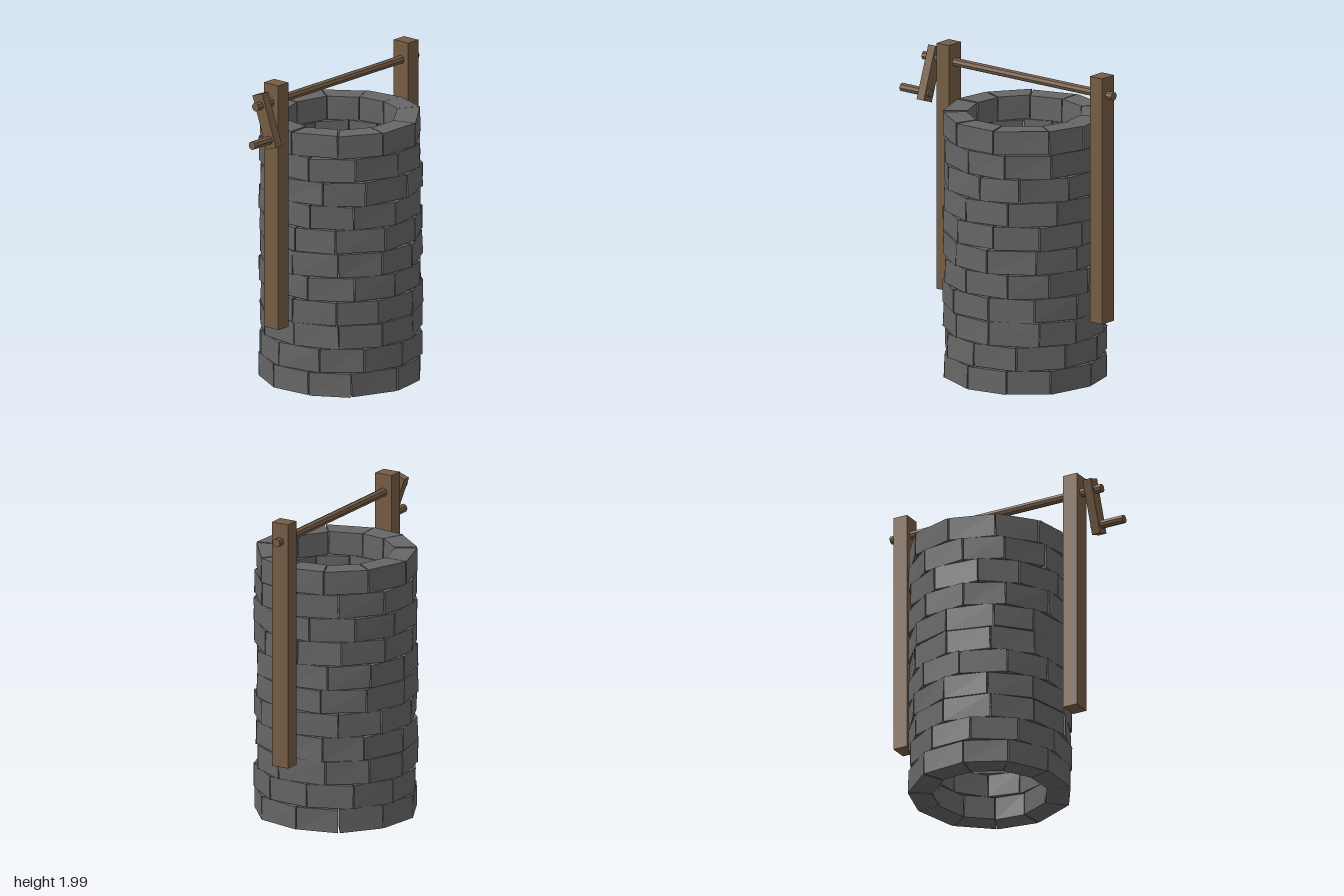
import * as THREE from 'three';

const RAD = Math.PI / 180;
const CENTRE_Z = -0.105;
const OUTER = 0.5, INNER = 0.354;
const PITCH = 0.1515, COUNT = 11;

function makeRandom(seed) {
  return () => {
    seed = (seed * 16807) % 2147483647;
    return seed / 2147483647;
  };
}

export function createModel() {
  const group = new THREE.Group();
  const rand = makeRandom(4217);
  const jitter = (a) => (rand() * 2 - 1) * a;
  const stone = new THREE.MeshStandardMaterial({ color: 0x666666, flatShading: true });
  const wood = new THREE.MeshStandardMaterial({ color: 0x755c45, flatShading: true });

  // A wedge-shaped block: box corners moved to angle, height and radius
  function stoneBlock(a0, a1, y0, y1) {
    const geo = new THREE.BoxGeometry(1, 1, 1);
    const pos = geo.attributes.position;
    const tilt = jitter(0.003);
    const corners = [];
    for (let i = 0; i < 8; i++) {
      const angle = (i & 1 ? a1 - 0.45 : a0 + 0.45) * RAD + jitter(0.004);
      const r = (i & 4 ? OUTER : INNER) + jitter(0.004);
      const y = (i & 2 ? y1 : y0) + (i & 1 ? tilt : -tilt) + jitter(0.001);
      corners.push([Math.sin(angle) * r, y, Math.cos(angle) * r]);
    }
    for (let v = 0; v < pos.count; v++) {
      const i = (pos.getX(v) > 0 ? 1 : 0) + (pos.getY(v) > 0 ? 2 : 0) + (pos.getZ(v) > 0 ? 4 : 0);
      pos.setXYZ(v, ...corners[i]);
    }
    geo.computeVertexNormals();
    return geo;
  }

  // Well wall: staggered courses of blocks, first joint angle of each course in degrees
  const wall = new THREE.Group();
  wall.name = 'wellWall';
  wall.position.z = CENTRE_Z;
  const phases = [18, 26, 6, 5, 17, 5, 7, 19, -4, 18, 4];
  const topJoints = [4, 39, 72, 106, 146, 174, 203, 235, 270, 304, 337];
  phases.forEach((phase, row) => {
    const joints = row === phases.length - 1
      ? topJoints
      : topJoints.map((_, i) => phase + i * 360 / COUNT + (i ? jitter(2.5) : 0));
    const y0 = 0.008 + row * PITCH;
    joints.forEach((a, i) => {
      const next = i + 1 < COUNT ? joints[i + 1] : joints[0] + 360;
      const block = new THREE.Mesh(stoneBlock(a, next, y0 + jitter(0.002), y0 + 0.147 + jitter(0.002)), stone);
      block.name = 'stoneBlock';
      wall.add(block);
    });
  });
  group.add(wall);

  function beam(name, w, h, d, x, y, z) {
    const mesh = new THREE.Mesh(new THREE.BoxGeometry(w, h, d), wood);
    mesh.name = name;
    mesh.position.set(x, y, z);
    group.add(mesh);
    return mesh;
  }

  // Round rod along z
  function rod(name, x, y, z0, z1) {
    const geo = new THREE.CylinderGeometry(0.027, 0.027, z1 - z0, 8).rotateX(Math.PI / 2);
    const mesh = new THREE.Mesh(geo, wood);
    mesh.name = name;
    mesh.position.set(x, y, (z0 + z1) / 2);
    group.add(mesh);
  }

  // Posts either side of the wall
  beam('frontPost', 0.117, 1.555, 0.096, 0, 1.2225, 0.495);
  beam('backPost', 0.117, 1.555, 0.096, 0, 1.2225, -0.708);

  // Axle with crank
  rod('axle', 0, 1.885, -0.802, 0.688);
  beam('crankArm', 0.083, 0.342, 0.056, 0.033, 1.79, 0.615).rotation.z = 19.4 * RAD;
  rod('crankHandle', 0.073, 1.68, 0.576, 0.802);

  return group;
}
